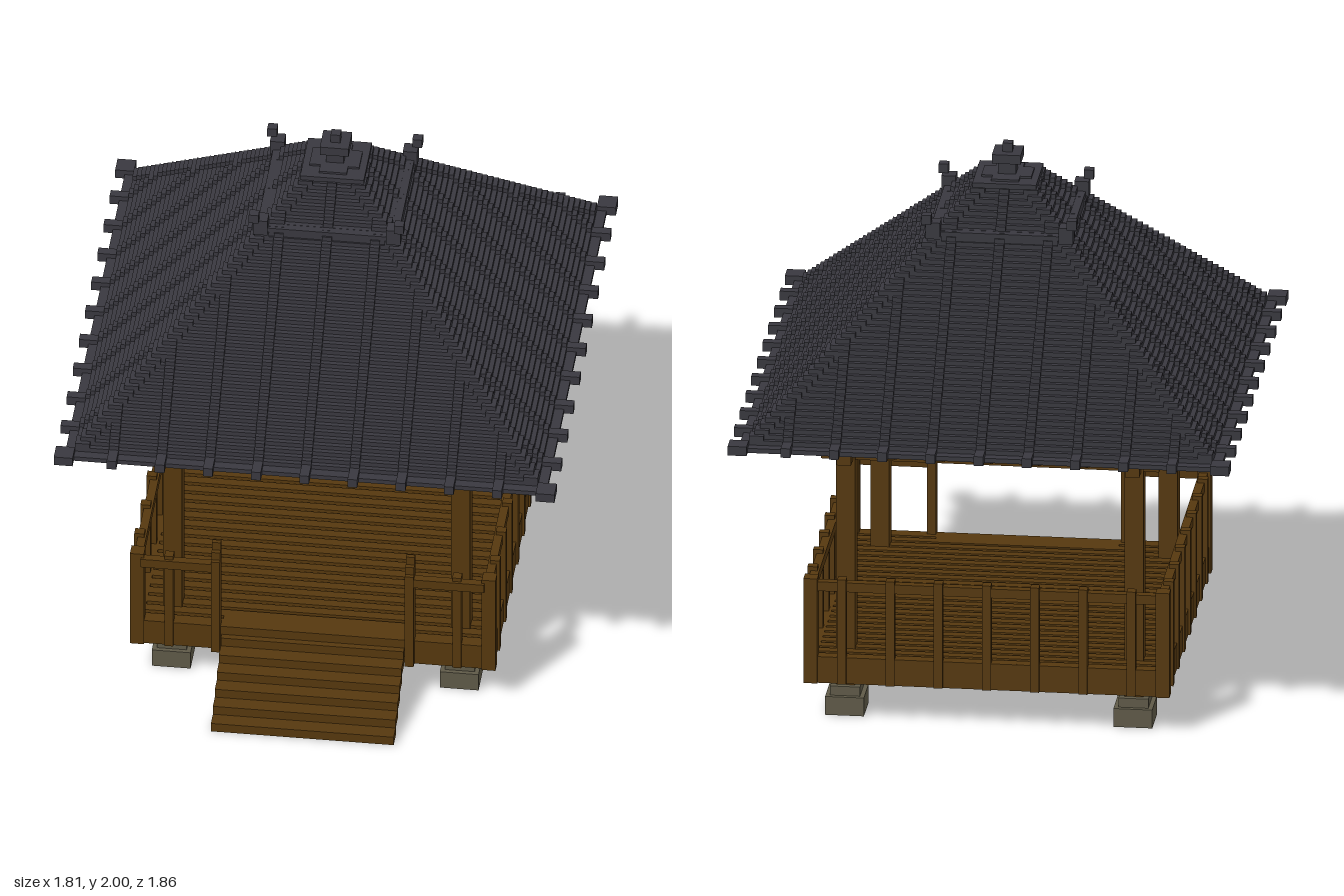
import * as THREE from 'three';
import { mergeGeometries } from 'three/addons/utils/BufferGeometryUtils.js';

const V = 0.0174;          // height of one roof course
const BAY = 0.174;         // spacing of balusters, braces and roof ribs
const POST = 0.52;         // distance of the main posts from the middle

export function createModel() {
  const model = new THREE.Group();
  const pavilion = new THREE.Group();
  pavilion.name = 'pavilion';
  pavilion.position.z = -0.025;
  model.add(pavilion);

  const material = (name, color) => {
    const m = new THREE.MeshStandardMaterial({ color });
    m.name = name;
    return m;
  };
  const wood = material('dark wood', 0x56380e);
  const tile = material('slate tile', 0x39383f);
  const stone = material('stone', 0x5f5a48);

  // Box given by its minimum and maximum on each axis
  const box = (x0, x1, y0, y1, z0, z1) =>
    new THREE.BoxGeometry(x1 - x0, y1 - y0, z1 - z0)
      .translate((x0 + x1) / 2, (y0 + y1) / 2, (z0 + z1) / 2);
  // Square block centred on x, z with half width h
  const block = (x, z, h, y0, y1) => box(x - h, x + h, y0, y1, z - h, z + h);
  const part = (name, mat, boxes, parent = pavilion) => {
    const mesh = new THREE.Mesh(mergeGeometries(boxes), mat);
    mesh.name = name;
    parent.add(mesh);
  };
  const corners = (d, fn) => [-1, 1].flatMap(sx => [-1, 1].flatMap(sz => fn(sx * d, sz * d)));
  // Copies of boxes designed for the +x side, turned to the chosen sides
  const turned = (make, turns = [0, 1, 2, 3]) =>
    turns.flatMap(t => make().map(g => g.rotateY(t * Math.PI / 2)));

  // Footings, posts and stepped capitals
  part('footings', stone, corners(POST, (x, z) => [
    block(x, z, 0.07, 0, 0.07), block(x, z, 0.054, 0.07, 0.105)]));
  part('posts', wood, corners(POST, (x, z) => [
    block(x, z, 0.034, 0.105, 1.1),
    block(x, z, 0.042, 1.03, 1.067), block(x, z, 0.052, 1.067, 1.1)]));

  // Deck with raised planks
  part('deck', wood, [box(-0.65, 0.65, 0.145, 0.228, -0.65, 0.65)]);
  const planks = [];
  for (let i = 0; i < 25; i++) {
    const z = -0.645 + i * 0.052;
    planks.push(box(-0.65, 0.65, 0.228, 0.245, z, z + 0.035));
  }
  part('planks', wood, planks);
  part('deckEdge', wood, turned(() => [box(0.615, 0.652, 0.145, 0.245, -0.652, 0.652)]));

  // Railings on three sides
  part('railings', wood, turned(() => {
    const list = [box(0.617, 0.648, 0.495, 0.53, -0.62, 0.62)];
    for (let k = -3; k <= 3; k++)
      list.push(box(0.624, 0.66, 0.145, 0.545, k * BAY - 0.016, k * BAY + 0.016));
    return list;
  }, [0, 1, 2]));
  part('cornerPosts', wood, corners(0.635, (x, z) => [block(x, z, 0.025, 0.145, 0.545)]));

  // Short front railings with stepped newels beside the stairs
  part('frontRailings', wood, [-1, 1].flatMap(s => {
    const a = s * 0.35, b = s * 0.62, p = s * POST;
    return [
      box(Math.min(a, b), Math.max(a, b), 0.495, 0.53, 0.64, 0.67),
      box(p - 0.016, p + 0.016, 0.145, 0.545, 0.626, 0.66),
      box(a - 0.016, a + 0.016, 0.145, 0.545, 0.626, 0.675),
      box(a - 0.016, a + 0.016, 0.545, 0.577, 0.626, 0.66),
      box(a - 0.016, a + 0.016, 0.577, 0.61, 0.626, 0.643)];
  }));

  // Stairs
  const steps = [];
  for (let i = 0; i < 7; i++) {
    const z = 0.93 - i * 0.056;
    steps.push(box(-0.33, 0.33, i * 0.035, (i + 1) * 0.035, z - 0.07, z));
  }
  part('stairs', wood, steps, model);

  // Ring beams, ceiling lattice and stepped eave braces
  part('ringBeams', wood, turned(() => [box(POST - 0.026, POST + 0.026, 0.965, 1.03, -0.61, 0.61)]));
  const lattice = [], braces = () => {
    const list = [];
    for (let k = -2; k <= 2; k++)
      for (let i = 0; i < 5; i++) {
        const x = 0.54 + i * 0.045, y = 0.99 + i * 0.0205;
        list.push(box(x, x + 0.06, y, y + 0.028, k * BAY - 0.016, k * BAY + 0.016));
      }
    return list;
  };
  for (let k = -2; k <= 2; k++) {
    const c = k * BAY;
    lattice.push(box(c - 0.016, c + 0.016, 0.985, 1.02, -POST, POST));
    lattice.push(box(-POST, POST, 0.985, 1.02, c - 0.016, c + 0.016));
  }
  part('ceilingLattice', wood, lattice);
  part('eaveBraces', wood, turned(braces));

  // Stepped roof courses, with ribs up each slope and along the hips
  const courses = [], ribs = [], hips = [];
  for (let i = 0; i < 45; i++) {
    const y = 1.097 + i * V;
    const h = i === 0 ? 0.87 : 0.87 - V * (i + 1);
    courses.push(block(0, 0, h, y, y + V));
    if (i < 2) continue;
    const out = h + V;
    for (let k = -4; k <= 4; k++) {
      const c = k * BAY;
      if (Math.abs(c) > h - 0.02) continue;
      ribs.push(box(c - V, c + V, y, y + V, -out, out));
      ribs.push(box(-out, out, y, y + V, c - V, c + V));
    }
    hips.push(...corners(h - V * 0.5, (x, z) => [block(x, z, V * 1.5, y, y + V)]));
  }
  // Rib ends projecting past the eaves
  const ends = turned(() => {
    const list = [];
    for (let k = -4; k <= 4; k++)
      list.push(box(0.82, 0.904, 1.097, 1.132, k * BAY - V, k * BAY + V));
    return list;
  });
  ends.push(...corners(0.87, (x, z) => [block(x, z, 0.034, 1.097, 1.132)]));
  part('roofCourses', tile, courses);
  part('roofRibs', tile, ribs);
  part('roofHips', tile, hips);
  part('eaveEnds', tile, ends);

  // Collar around the upper roof with upturned corners
  part('roofCollar', tile, [
    block(0, 0, 0.255, 1.7, 1.74),
    ...corners(0.24, (x, z) => [block(x, z, 0.026, 1.715, 1.777)]),
    ...corners(0.262, (x, z) => [block(x, z, 0.0175, 1.775, 1.81)])]);

  // Cap and finial
  part('finial', tile, [
    block(0, 0, 0.115, 1.86, 1.88),
    box(-0.09, 0.09, 1.88, 1.888, -0.05, 0.05),
    box(-0.05, 0.05, 1.88, 1.888, -0.09, 0.09),
    block(0, 0, 0.032, 1.88, 1.935),
    block(0, 0, 0.052, 1.933, 1.967),
    block(0, 0, 0.0175, 1.967, 2.0)]);

  return model;
}
